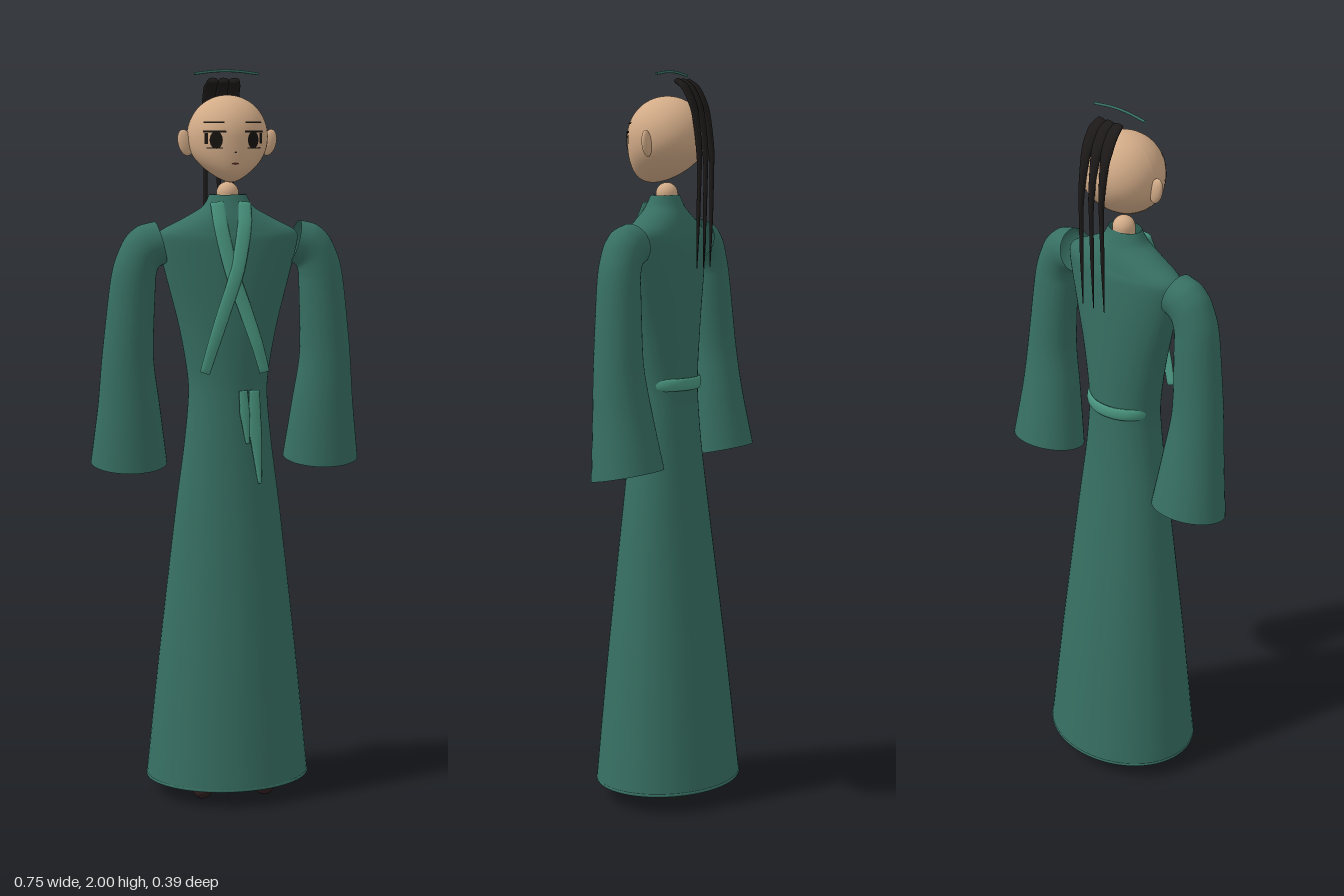
import * as THREE from 'three';

const mat = (name, color, side = THREE.FrontSide) =>
  Object.assign(new THREE.MeshStandardMaterial({ color, side }), { name });
const V = (x, y, z) => new THREE.Vector3(x, y, z);
const curve = (pts) => new THREE.CatmullRomCurve3(pts.map((p) => V(...p)), false, 'catmullrom', 0.4);

// Skin a list of closed rings (equal point counts) into one smooth surface
function loft(rings) {
  const n = rings[0].length, pos = [], idx = [];
  for (const ring of rings) for (const p of ring) pos.push(p.x, p.y, p.z);
  for (let i = 0; i < rings.length - 1; i++) {
    for (let j = 0; j < n; j++) {
      const a = i * n + j, b = i * n + (j + 1) % n;
      idx.push(a, a + n, b, b, a + n, b + n);
    }
  }
  const g = new THREE.BufferGeometry();
  g.setAttribute('position', new THREE.Float32BufferAttribute(pos, 3));
  g.setIndex(idx);
  g.computeVertexNormals();
  return g;
}

const ringOf = (n, fn) => Array.from({ length: n }, (_, j) => {
  const a = (j / n) * Math.PI * 2;
  return fn(Math.cos(a), Math.sin(a));
});

// Flat, tapering strip along a path: half-widths w are spread over the length
function strip(pts, w, thick, steps = 28) {
  const path = curve(pts), rings = [];
  for (let i = 0; i <= steps; i++) {
    const u = i / steps, p = path.getPoint(u), T = path.getTangent(u);
    const N = V(1, 0, 0).cross(T).normalize(), S = T.clone().cross(N);
    const f = u * (w.length - 1), k = Math.min(Math.floor(f), w.length - 2);
    const half = THREE.MathUtils.lerp(w[k], w[k + 1], f - k);
    const t = Math.min(thick, half);
    const ring = ringOf(12, (c, s) => p.clone().addScaledVector(S, c * half).addScaledVector(N, s * t));
    if (i === 0) rings.push(ring.map(() => p.clone()));
    rings.push(ring);
    if (i === steps) rings.push(ring.map(() => p.clone()));
  }
  return loft(rings);
}

// Head shape: a ball whose lower half narrows and moves forward to the chin
const HEAD = { y: 1.823, r: 0.109, low: 0.122 };
const taper = (t) => 1 - 0.4 * t ** 3;
const headShift = (t) => 0.003 + 0.045 * t * t;
function headZ(x, y) {
  const d = y - HEAD.y, t = Math.max(0, -d / HEAD.low);
  const h = d > 0 ? d / HEAD.r : t, rz = HEAD.r * Math.sqrt(Math.max(0, 1 - h * h));
  return headShift(t) + rz * Math.sqrt(Math.max(0, 1 - (x / (rz * taper(t))) ** 2));
}

export function createModel() {
  const model = new THREE.Group();
  const robeMat = mat('robe green', 0x376f62, THREE.DoubleSide);
  const trimMat = mat('trim green', 0x4a9680);
  const skinMat = mat('skin', 0xd3ac88);
  const hairMat = mat('hair black', 0x1d1919);
  const inkMat = mat('face ink', 0x16130f, THREE.DoubleSide);
  const lipMat = mat('lip red', 0x8a4a42, THREE.DoubleSide);
  const shoeMat = mat('shoe brown', 0x2f1e1f);
  const add = (name, geo, material, parent = model) => {
    const m = new THREE.Mesh(geo, material);
    m.name = name;
    parent.add(m);
    return m;
  };

  // Long robe: half-width, height, half-depth from hem to collar
  const body = curve([
    [0.228, 0.05, 0.192], [0.192, 0.4, 0.157], [0.146, 0.8, 0.112], [0.12, 1.0, 0.092],
    [0.109, 1.15, 0.083], [0.132, 1.3, 0.083], [0.17, 1.45, 0.081], [0.193, 1.545, 0.076],
    [0.183, 1.573, 0.07], [0.125, 1.603, 0.062], [0.07, 1.635, 0.049], [0.05, 1.668, 0.036],
  ]);
  add('robe', loft(Array.from({ length: 89 }, (_, i) => {
    const p = body.getPoint(i / 88), zc = Math.min(0.01, p.y * 0.01);
    return ringOf(56, (c, s) => V(c * p.x, p.y, zc + s * p.z));
  })), robeMat);
  const hem = add('hem', new THREE.TorusGeometry(1, 0.02, 8, 64), robeMat);
  hem.rotation.x = Math.PI / 2;
  hem.scale.set(0.225, 0.189, 0.25);
  hem.position.y = 0.053;

  // Belt, showing only at the back of the waist
  const belt = add('belt', new THREE.TorusGeometry(1, 0.08, 10, 56), trimMat);
  belt.rotation.x = Math.PI / 2;
  belt.scale.set(0.098, 0.077, 0.22);
  belt.position.set(0, 1.16, -0.002);

  // Crossed lapels
  for (const s of [1, -1]) {
    const lift = s > 0 ? 0.004 : 0;
    add(s > 0 ? 'leftLapel' : 'rightLapel', strip([
      [0.036, 1.648, 0.048], [0.031, 1.58, 0.078], [0.008, 1.47, 0.097 + lift],
      [-0.03, 1.36, 0.105 + lift], [-0.06, 1.27, 0.11], [-0.082, 1.195, 0.104],
    ].map(([x, y, z]) => [x * s, y, z]), [0.02, 0.019, 0.018, 0.014], 0.005), trimMat);
  }

  // Hanging sash ends
  add('shortSash', strip([[0.024, 1.145, 0.1], [0.028, 1.08, 0.102], [0.036, 1.0, 0.102]],
    [0.012, 0.014, 0.005], 0.004), trimMat);
  add('longSash', strip([[0.055, 1.145, 0.096], [0.058, 1.03, 0.1], [0.07, 0.89, 0.102]],
    [0.015, 0.018, 0.005], 0.004), trimMat);

  // Arms: the left side is built and mirrored
  // Sleeve rows: outer x, y, inner x, y, centre z, half-depth, tilt, cuff first
  const rows = [
    [0.375, 0.94, 0.165, 0.94, -0.022, 0.094, 0.19], [0.356, 1.1, 0.187, 1.1, -0.007, 0.077, 0.1],
    [0.345, 1.235, 0.205, 1.235, 0.002, 0.065, 0], [0.324, 1.42, 0.2, 1.415, 0.008, 0.058, 0],
    [0.31, 1.49, 0.199, 1.445, 0.01, 0.056, 0], [0.282, 1.552, 0.195, 1.466, 0.01, 0.055, 0],
    [0.246, 1.585, 0.187, 1.477, 0.01, 0.055, 0], [0.2, 1.597, 0.17, 1.485, 0.01, 0.055, 0],
  ];
  const outer = curve(rows.map((r) => [r[0], r[1], r[4]]));
  const inner = curve(rows.map((r) => [r[2], r[3], r[5]]));
  const tilt = curve(rows.map((r) => [r[6], 0, 0]));
  const sleeveGeo = loft(Array.from({ length: 50 }, (_, i) => {
    const u = i / 49, o = outer.getPoint(u), n = inner.getPoint(u), k = tilt.getPoint(u).x;
    return ringOf(40, (c, s) => V(
      (o.x + n.x) / 2 + c * (o.x - n.x) / 2,
      (o.y + n.y) / 2 + c * (o.y - n.y) / 2 - s * n.z * k,
      o.z + s * n.z));
  }));
  for (const s of [1, -1]) {
    const arm = new THREE.Group();
    arm.name = s > 0 ? 'leftArm' : 'rightArm';
    arm.scale.x = s;
    model.add(arm);
    add('sleeve', sleeveGeo, robeMat, arm);
    // Hand tucked inside the cuff
    const palm = add('palm', new THREE.SphereGeometry(0.03, 16, 12), skinMat, arm);
    palm.scale.set(0.5, 1.3, 1);
    palm.position.set(0.268, 1.05, -0.01);
    for (let f = 0; f < 4; f++) {
      const finger = add('finger', new THREE.CapsuleGeometry(0.006, 0.05, 4, 8), skinMat, arm);
      finger.position.set(0.268, 1.0 + Math.abs(f - 1.4) * 0.004, -0.032 + f * 0.0145);
    }

    // Shoe pointing down and forward
    const shoe = add(s > 0 ? 'leftShoe' : 'rightShoe', new THREE.CapsuleGeometry(0.026, 0.1, 8, 18), shoeMat);
    shoe.position.set(0.088 * s, 0.052, 0.043);
    shoe.rotation.x = -1.08;
  }

  // Neck and head
  const neck = add('neck', new THREE.CapsuleGeometry(0.03, 0.04, 8, 24), skinMat);
  neck.position.set(0, 1.652, 0.005);
  const headGeo = new THREE.SphereGeometry(1, 48, 36), hp = headGeo.attributes.position;
  for (let i = 0; i < hp.count; i++) {
    const t = Math.max(0, -hp.getY(i));
    hp.setXYZ(i, hp.getX(i) * HEAD.r * taper(t),
      HEAD.y + hp.getY(i) * (t > 0 ? HEAD.low : HEAD.r), hp.getZ(i) * HEAD.r + headShift(t));
  }
  headGeo.computeVertexNormals();
  add('head', headGeo, skinMat);

  // Painted face: flat patches laid onto the head surface
  const patch = (name, cx, cy, w, h, material, round, lift = 0.002) => {
    const g = round ? new THREE.CircleGeometry(1, 24) : new THREE.PlaneGeometry(2, 2, 8, 1);
    const p = g.attributes.position;
    for (let i = 0; i < p.count; i++) {
      const x = cx + p.getX(i) * w, y = cy + p.getY(i) * h;
      p.setXYZ(i, x, y, headZ(x, y) + lift);
    }
    g.computeVertexNormals();
    add(name, g, material);
  };
  for (const s of [1, -1]) {
    patch('eyebrow', 0.053 * s, 1.86, 0.025, 0.002, inkMat, false);
    patch('upperLash', 0.053 * s, 1.836, 0.028, 0.003, inkMat, false);
    patch('iris', 0.05 * s, 1.814, 0.016, 0.023, inkMat, true);
    patch('lowerLash', 0.053 * s, 1.793, 0.02, 0.0015, inkMat, false);
    patch('outerLash', 0.074 * s, 1.818, 0.004, 0.014, inkMat, false);

    const ear = add(s > 0 ? 'leftEar' : 'rightEar', new THREE.SphereGeometry(1, 20, 14), skinMat);
    ear.scale.set(0.02, 0.036, 0.011);
    ear.position.set(0.115 * s, 1.806, 0.004);
    ear.rotation.z = -0.25 * s;
  }
  patch('nose', 0, 1.782, 0.004, 0.0015, inkMat, true);
  patch('mouth', 0, 1.752, 0.01, 0.003, lipMat, true);
  patch('mouthLine', 0, 1.752, 0.009, 0.001, inkMat, false, 0.003);

  // Three long locks of hair hanging behind the head
  for (const k of [-1, 0, 1]) {
    add('hairLock', strip([
      [k * 0.029, 1.972, -0.042], [k * 0.032, 1.95, -0.07], [k * 0.034, 1.89, -0.097],
      [k * 0.036, 1.78, -0.112], [k * 0.038, 1.63, -0.111], [k * 0.039, 1.475, -0.107],
    ], [0.014, 0.019, 0.018, 0.011, 0.006, 0.005, 0.001], 0.008, 40), hairMat);
  }

  // Slim curved hairpin above the head
  const pin = curve([[-0.088, 1.988, -0.01], [-0.04, 1.994, -0.01], [0, 1.996, -0.01],
    [0.04, 1.994, -0.01], [0.088, 1.988, -0.01]]);
  add('hairpin', new THREE.TubeGeometry(pin, 24, 0.0035, 8), robeMat);

  return model;
}
